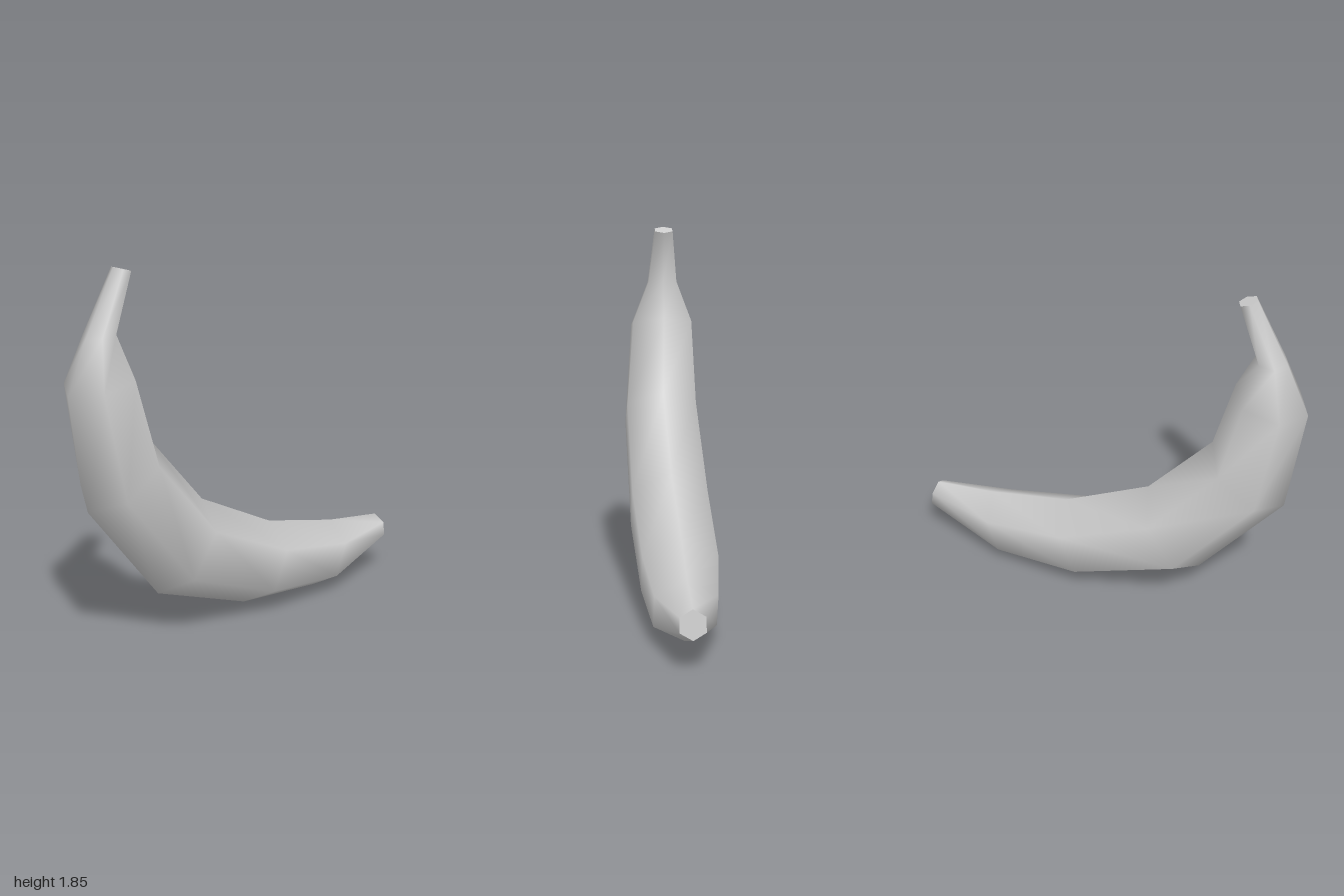
import * as THREE from 'three';

const SIDES = 6;

// Stations from stem to tip: outer z, y; inner z, y; centre x; half width
const STATIONS = [
  [0.73, 1.845, 0.64, 1.82, -0.005, 0.045],
  [0.89, 1.54, 0.735, 1.56, -0.007, 0.073],
  [1.0, 1.29, 0.645, 1.37, -0.002, 0.153],
  [0.915, 0.73, 0.54, 1.0, 0.01, 0.18],
  [0.5, 0.22, 0.22, 0.64, -0.003, 0.192],
  [-0.06, 0.025, -0.23, 0.42, -0.01, 0.185],
  [-0.53, 0.0, -0.65, 0.33, 0.003, 0.149],
  [-1.0, 0.15, -0.98, 0.29, 0.01, 0.06],
];

// Six-sided ring with one corner on the outer curve and one on the inner curve
function ring([oz, oy, iz, iy, cx, halfWidth]) {
  const points = [];
  for (let j = 0; j < SIDES; j++) {
    const a = (j / SIDES) * Math.PI * 2;
    const t = (1 - Math.cos(a)) / 2;
    const x = cx + (halfWidth / Math.sin(Math.PI / 3)) * Math.sin(a);
    points.push(x, oy + (iy - oy) * t, oz + (iz - oz) * t);
  }
  return points;
}

function makeMesh(name, positions, index, material) {
  const geometry = new THREE.BufferGeometry();
  geometry.setAttribute('position', new THREE.Float32BufferAttribute(positions, 3));
  geometry.setIndex(index);
  geometry.computeVertexNormals();
  const mesh = new THREE.Mesh(geometry, material);
  mesh.name = name;
  return mesh;
}

// Flat end cap, fanned from the first corner
function makeCap(name, station, flip, material) {
  const index = [];
  for (let j = 1; j < SIDES - 1; j++) {
    if (flip) index.push(0, j + 1, j);
    else index.push(0, j, j + 1);
  }
  return makeMesh(name, ring(station), index, material);
}

export function createModel() {
  const group = new THREE.Group();
  group.name = 'banana';
  const peel = new THREE.MeshStandardMaterial({ color: 0xcccccc });
  peel.name = 'light grey peel';

  // Curved body and stem, one smooth skin through all stations
  const index = [];
  for (let i = 0; i < STATIONS.length - 1; i++) {
    for (let j = 0; j < SIDES; j++) {
      const a = i * SIDES + j;
      const b = i * SIDES + ((j + 1) % SIDES);
      const c = a + SIDES;
      const d = b + SIDES;
      index.push(c, d, b, c, b, a);
    }
  }
  group.add(makeMesh('peelBody', STATIONS.flatMap(ring), index, peel));

  // Ends
  group.add(makeCap('stemCap', STATIONS[0], false, peel));
  group.add(makeCap('tipCap', STATIONS[STATIONS.length - 1], true, peel));
  return group;
}
